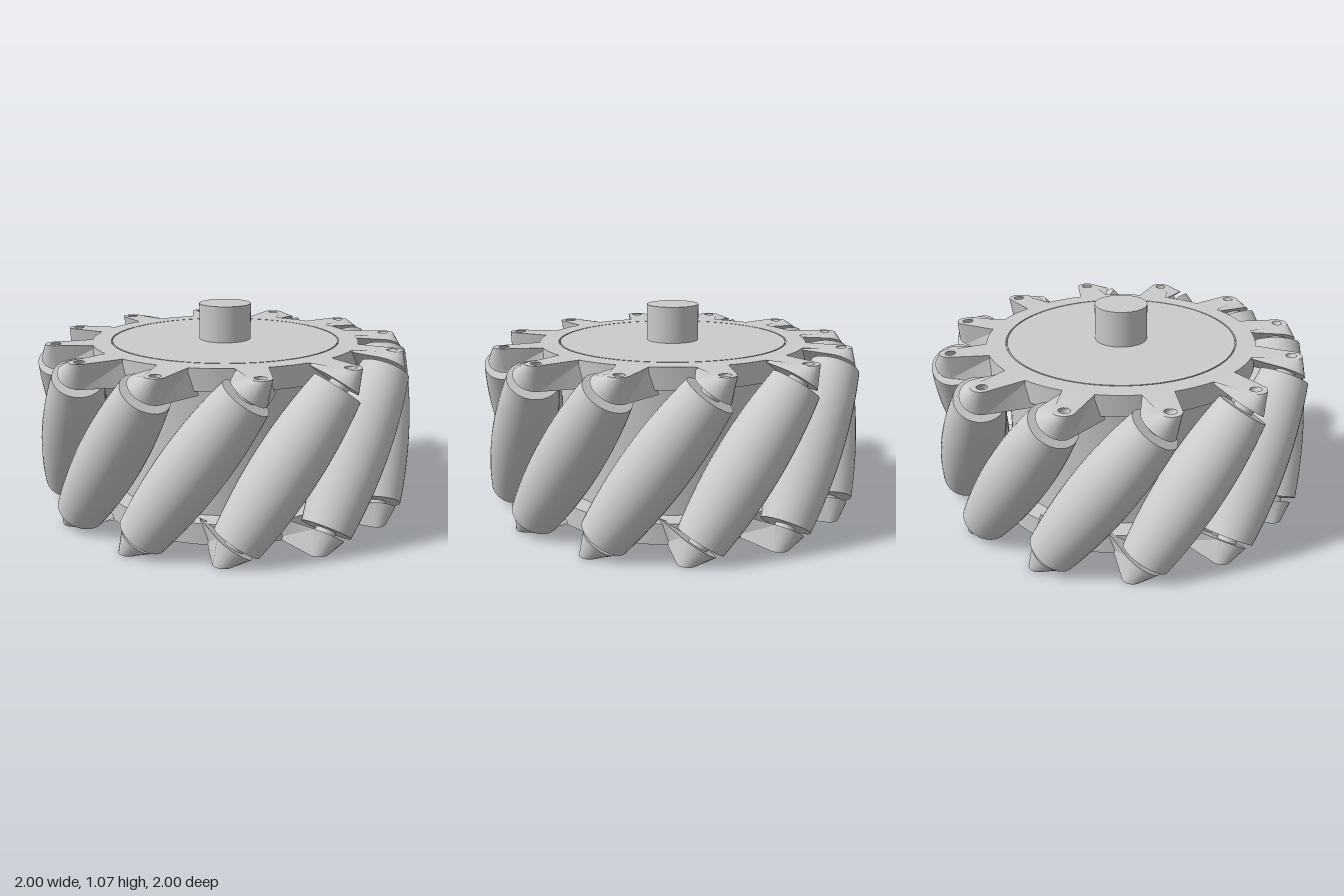
import * as THREE from 'three';
import { toCreasedNormals } from 'three/addons/utils/BufferGeometryUtils.js';

const COUNT = 12;              // rollers around the wheel
const TILT = 35 * Math.PI / 180;
const SIN = Math.sin(TILT), COS = Math.cos(TILT);
const MID = 0.44;              // half height of the wheel
const AXIS_R = 0.84;           // roller axis distance from the wheel centre
const ROLLER_END = 0.425, ARM_START = 0.45;

const lathe = (pts, segs, crease = 0.5) =>
  toCreasedNormals(new THREE.LatheGeometry(pts.map(p => new THREE.Vector2(p[0], p[1])), segs), crease);

// Barrel whose outer line follows the unit wheel circle
function rollerGeometry() {
  const pts = [[0, -ROLLER_END], [0.095, -ROLLER_END]];
  for (let i = 0; i <= 16; i++) {
    const s = ROLLER_END * (i / 8 - 1);
    pts.push([1 - Math.hypot(AXIS_R, s * SIN), s]);
  }
  pts.push([0.095, ROLLER_END], [0, ROLLER_END]);
  return lathe(pts, 36);
}

// Arm: lofted from the flat wheel face to a plane square to the roller axis.
// Local x is tangential, y up, z radial, origin at wheel mid height.
function armGeometry() {
  const pos = [];
  const tri = (...v) => v.forEach(p => pos.push(p.x, p.y, p.z));
  const V2 = (x, y) => new THREE.Vector2(x, y);
  const outline = (cx, r, left, right) => {
    const pts = [left];
    for (let i = 0; i <= 12; i++) {
      const a = Math.PI * (1 - i / 12);
      pts.push(V2(cx + r * Math.cos(a), AXIS_R + r * Math.sin(a)));
    }
    return [...pts, right];
  };
  const topX = MID * SIN / COS;
  const top2 = outline(topX, 0.056, V2(0.13, 0.62), V2(0.31, 0.6));
  const low2 = outline(0, 0.1, V2(-0.11, 0.62), V2(0.11, 0.6));
  const hole2 = [];
  for (let i = 0; i < 16; i++) {
    const a = Math.PI * (1 - i / 8);
    hole2.push(V2(topX + 0.03 * Math.cos(a), AXIS_R + 0.026 * Math.sin(a)));
  }
  const onTop = p => new THREE.Vector3(p.x, MID, p.y);
  const onLow = p => new THREE.Vector3(ARM_START * SIN + p.x * COS, ARM_START * COS - p.x * SIN, p.y);
  const sink = p => new THREE.Vector3(p.x - 0.05 * SIN, MID - 0.05 * COS, p.y);

  // Face with pin hole, and the inner end facing the roller
  const all = [...top2, ...hole2].map(onTop);
  for (const [a, b, c] of THREE.ShapeUtils.triangulateShape(top2, [hole2])) tri(all[a], all[c], all[b]);
  const low = low2.map(onLow);
  for (const [a, b, c] of THREE.ShapeUtils.triangulateShape(low2, [])) tri(low[a], low[b], low[c]);

  // Outer walls
  const n = top2.length;
  for (let i = 0; i < n; i++) {
    const j = (i + 1) % n;
    tri(low[i], low[j], all[j]);
    tri(low[i], all[j], all[i]);
  }
  // Hole wall and floor
  const rim = hole2.map(onTop), floor = hole2.map(sink);
  for (let i = 0; i < 16; i++) {
    const j = (i + 1) % 16;
    tri(floor[j], floor[i], rim[i]);
    tri(floor[j], rim[i], rim[j]);
    if (i > 0 && i < 15) tri(floor[0], floor[i], floor[j]);
  }
  const geo = new THREE.BufferGeometry();
  geo.setAttribute('position', new THREE.Float32BufferAttribute(pos, 3));
  return toCreasedNormals(geo, 0.5);
}

export function createModel() {
  const model = new THREE.Group();
  model.name = 'rollerWheel';
  const mat = new THREE.MeshStandardMaterial({ color: 0xcccccc });
  const add = (parent, name, geo) => {
    const m = new THREE.Mesh(geo, mat);
    m.name = name;
    parent.add(m);
    return m;
  };

  // Hub drum with both side plates and a thin groove in each face
  const half = [[0, 0], [0.602, 0], [0.602, 0.03], [0.609, 0.03], [0.609, 0], [0.71, 0], [0.71, 0.11], [0.605, 0.11]];
  const profile = [...half, ...half.map(([r, y]) => [r, 2 * MID - y]).reverse()];
  add(model, 'hub', lathe(profile, 72));

  // Drive shaft
  const shaft = add(model, 'shaft', new THREE.CylinderGeometry(0.138, 0.138, 0.21, 48));
  shaft.position.y = 0.965;

  // Tilted rollers, each held by an arm on both plates
  const rollerGeo = rollerGeometry();
  const armGeo = armGeometry();
  const pinGeo = new THREE.CylinderGeometry(0.05, 0.05, 0.92, 20);
  for (let i = 0; i < COUNT; i++) {
    const station = new THREE.Group();
    station.name = 'rollerStation';
    station.position.y = MID;
    station.rotation.y = (i + 0.5) * 2 * Math.PI / COUNT;
    for (const [name, geo] of [['roller', rollerGeo], ['rollerPin', pinGeo]]) {
      const m = add(station, name, geo);
      m.position.z = AXIS_R;
      m.rotation.z = -TILT;
    }
    add(station, 'upperArm', armGeo);
    add(station, 'lowerArm', armGeo).rotation.z = Math.PI;
    model.add(station);
  }
  return model;
}
